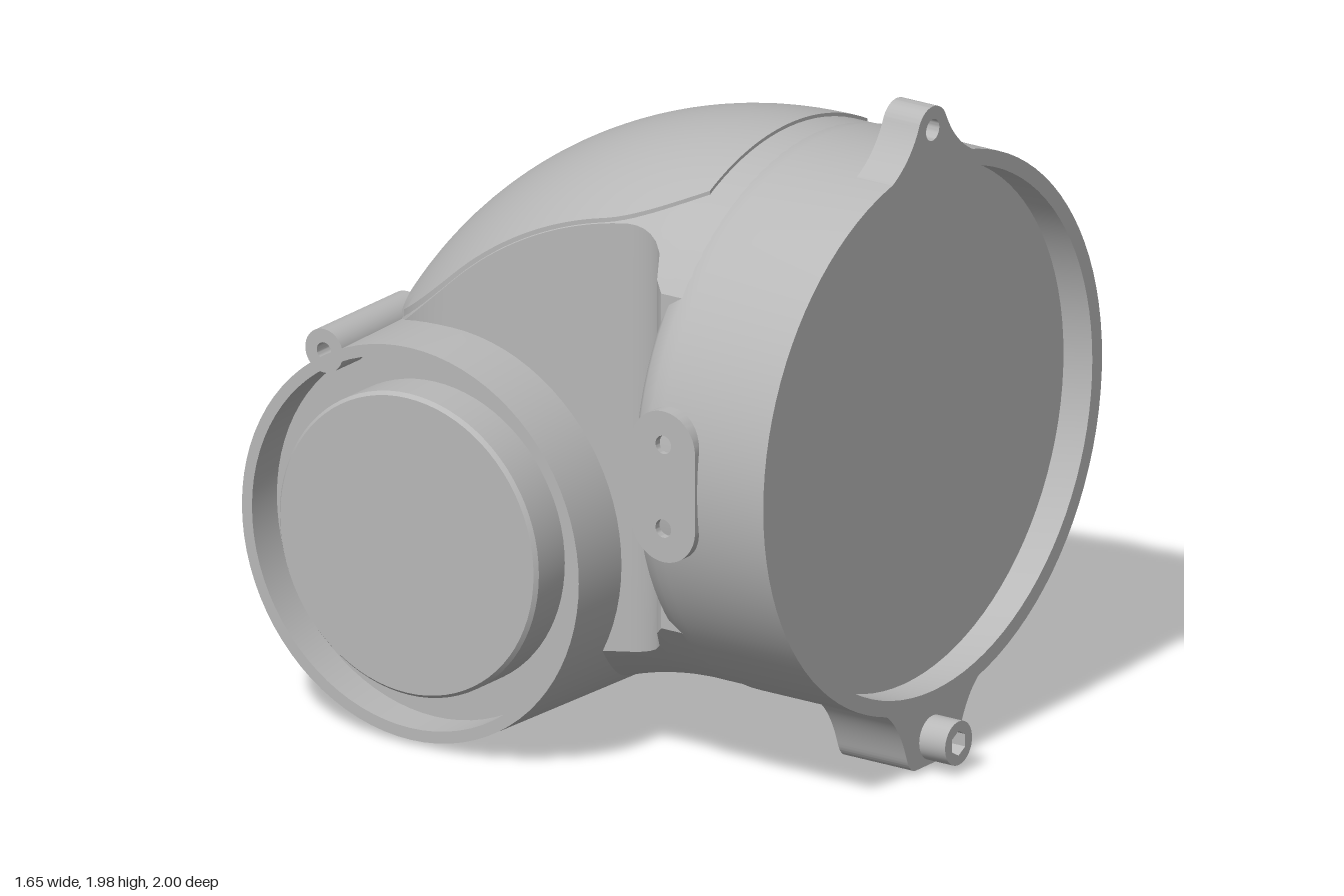
import * as THREE from 'three';
import { toCreasedNormals } from 'three/addons/utils/BufferGeometryUtils.js';

const grey = new THREE.MeshStandardMaterial({ color: 0xb8b8b8, side: THREE.DoubleSide });
grey.name = 'plain grey';

function part(name, geometry, crease = 0.6) {
  const mesh = new THREE.Mesh(toCreasedNormals(geometry, crease), grey);
  mesh.name = name;
  return mesh;
}

function lathe(points, segments = 80) {
  return new THREE.LatheGeometry(points.map(([r, y]) => new THREE.Vector2(r, y)), segments);
}

function extrude(shape, depth, bevel = 0) {
  return new THREE.ExtrudeGeometry(shape, {
    depth: depth - bevel, curveSegments: 20, bevelEnabled: bevel > 0,
    bevelSize: bevel, bevelThickness: bevel, bevelOffset: -bevel, bevelSegments: 3,
  });
}

function hole(shape, x, y, r) {
  shape.holes.push(new THREE.Path().absarc(x, y, r, 0, Math.PI * 2, true));
}

// Closed loft along -z; each section has a curved top, a curved bottom and flat sides
function loft(zs, width, top, bottom) {
  const n = 28, row = 2 * (n + 1), pos = [], idx = [];
  for (const z of zs) {
    const w = width(z);
    for (let j = 0; j < row; j++) {
      const isTop = j <= n;
      const x = w * (isTop ? (2 * j) / n - 1 : 1 - (2 * (j - n - 1)) / n);
      pos.push(x, (isTop ? top : bottom)(x, z), z);
    }
  }
  for (let i = 0; i < zs.length - 1; i++) {
    for (let j = 0; j < row; j++) {
      const k = (j + 1) % row, a = i * row + j, b = i * row + k;
      idx.push(a, b, a + row, b, b + row, a + row);
    }
  }
  const last = (zs.length - 1) * row;
  for (let j = 0; j < n; j++) {
    const a = j, b = j + 1, c = row - 1 - j, d = row - 2 - j;
    idx.push(a, c, b, b, c, d);
    idx.push(last + a, last + b, last + c, last + b, last + d, last + c);
  }
  const g = new THREE.BufferGeometry();
  g.setAttribute('position', new THREE.Float32BufferAttribute(pos, 3));
  g.setIndex(idx);
  return g;
}

// Outer surface of a pipe elbow of radius r bending backwards and down
function elbowTop(r) {
  return (x, z) => {
    const reach = 0.54 + Math.sqrt(r * r - x * x);
    const back = Math.max(0, 0.4 - z);
    return 0.46 + Math.sqrt(Math.max(0.01, reach * reach - back * back));
  };
}

// Half width of a plan that ends in a round arch at the back
function arch(z, half, length) {
  const t = Math.min(1, Math.max(0, (-0.4 - z) / length));
  return half * Math.sqrt(Math.max(0.0004, 1 - t * t));
}

function stations(front, length) {
  const zs = [];
  for (let i = 0; i <= 30; i++) zs.push(front + ((-0.4 - front) * i) / 30);
  for (let i = 1; i <= 16; i++) zs.push(-0.4 - length * Math.sin((i / 16) * Math.PI / 2));
  return zs;
}

// Flange ear: flared flanks around a given tip, closed along the barrel wall
function earShape(tip) {
  const s = new THREE.Shape();
  s.moveTo(0.26, 0.765);
  tip(s);
  s.absarc(0, 0, 0.79, Math.PI - 1.24, 1.24, true);
  return s;
}

export function createModel() {
  const model = new THREE.Group();
  model.name = 'elbowHousing';

  // Large front barrel with a rounded rear shoulder and a recessed face
  const barrel = part('frontBarrel', lathe([
    [0, 0.4], [0.64, 0.4], [0.71, 0.408], [0.76, 0.425], [0.795, 0.455], [0.812, 0.5],
    [0.817, 0.54], [0.817, 0.91], [0.77, 0.91], [0.77, 0.81], [0, 0.81],
  ], 96));
  barrel.rotation.x = Math.PI / 2;
  barrel.position.y = 1;
  model.add(barrel);

  // Cross cylinder with slightly tapered ends, end grooves and end discs
  const half = [[0.6, 0], [0.585, 0.7], [0.55, 0.7], [0.55, 0.58], [0.45, 0.58],
    [0.45, 0.705], [0.44, 0.717], [0, 0.717]];
  const mirrored = half.slice(1).reverse().map(([r, y]) => [r, -y]);
  const cross = part('crossCylinder', lathe([...mirrored, ...half], 80));
  cross.rotation.z = Math.PI / 2;
  cross.position.set(0, 0.6, -0.4);
  model.add(cross);

  // Flat-sided neck joining both, flaring into the barrel
  const neckWidth = (z) => {
    const t = Math.min(1, Math.max(0, (z - 0.2) / 0.2));
    return arch(z, 0.5, 0.44) + 0.14 * (1 - Math.sqrt(1 - t * t));
  };
  const neckBottom = (x, z) => {
    const t = Math.min(1, Math.max(0, (0.4 - z) / 0.5));
    return 1 - Math.sqrt(0.812 ** 2 - x * x) - 0.1 * t * t + Math.max(0, -0.1 - z);
  };
  model.add(part('neck', loft(stations(0.52, 0.44), neckWidth, elbowTop(0.812), neckBottom)));

  // Slightly raised cover on the outside of the bend
  const coverTop = elbowTop(0.822);
  const coverWidth = (z) => {
    const t = Math.min(1, Math.max(0, (z - 0.12) / 0.29));
    return arch(z, 0.497, 0.41) - 0.117 * t * t;
  };
  model.add(part('bendCover', loft(stations(0.41, 0.41), coverWidth, coverTop,
    (x, z) => coverTop(x, z) - 0.05)));

  // Top ear with its eyelet
  const topShape = earShape((s) => {
    s.quadraticCurveTo(0.12, 0.81, 0.066, 0.93);
    s.absarc(0, 0.905, 0.07, 0.36, Math.PI - 0.36, false);
    s.quadraticCurveTo(-0.12, 0.81, -0.26, 0.765);
  });
  hole(topShape, 0, 0.905, 0.032);
  const topEar = part('topEar', extrude(topShape, 0.125));
  topEar.position.set(0, 1, 0.785);
  model.add(topEar);

  // Deeper bottom ear, the same flange turned upside down
  const bottomEar = part('bottomEar', extrude(earShape((s) => {
    s.quadraticCurveTo(0.17, 0.8, 0.125, 0.94);
    s.quadraticCurveTo(0.11, 0.985, 0.08, 0.985);
    s.lineTo(-0.08, 0.985);
    s.quadraticCurveTo(-0.11, 0.985, -0.125, 0.94);
    s.quadraticCurveTo(-0.17, 0.8, -0.26, 0.765);
  }), 0.24));
  bottomEar.rotation.z = Math.PI;
  bottomEar.position.set(0, 1, 0.67);
  model.add(bottomEar);

  // Socket head screw
  const head = new THREE.Shape().absarc(0, 0, 0.065, 0, Math.PI * 2, false);
  const hex = [];
  for (let i = 0; i < 6; i++) {
    const a = -(i * Math.PI) / 3 + Math.PI / 6;
    hex.push(new THREE.Vector2(0.037 * Math.cos(a), 0.037 * Math.sin(a)));
  }
  head.holes.push(new THREE.Path(hex));
  const screw = part('screw', extrude(head, 0.09));
  screw.position.set(0, 0.092, 0.91);
  model.add(screw);

  // Side pads with two holes each
  for (const side of [1, -1]) {
    const s = new THREE.Shape();
    s.absarc(0, 0.115, 0.11, 0, Math.PI, false);
    s.absarc(0, -0.115, 0.11, Math.PI, Math.PI * 2, false);
    for (const y of [-0.125, 0.125]) hole(s, 0, y, 0.027);
    const pad = part(side > 0 ? 'leftPad' : 'rightPad', extrude(s, 0.1));
    pad.rotation.y = (side * Math.PI) / 2;
    pad.position.set(side * 0.727, 1.005, 0.57);
    model.add(pad);
  }

  // Tall lug between neck and cross cylinder
  const lug = new THREE.Shape();
  lug.moveTo(0.3, 1.0);
  lug.lineTo(0.3, 1.165);
  lug.quadraticCurveTo(0.21, 1.165, 0.175, 1.245);
  lug.absarc(0.11, 1.23, 0.066, 0.25, Math.PI - 0.15, false);
  lug.lineTo(0.015, 1.06);
  lug.lineTo(0.015, 1.0);
  const tallLug = part('tallLug', extrude(lug, 0.25, 0.01));
  tallLug.rotation.y = Math.PI / 2;
  tallLug.position.x = 0.44;
  model.add(tallLug);

  // Small drilled lug on the opposite end, further back
  const ring = new THREE.Shape().absarc(0, 0, 0.065, 0, Math.PI * 2, false);
  hole(ring, 0, 0, 0.025);
  const smallLug = part('smallLug', extrude(ring, 0.4));
  smallLug.rotation.y = -Math.PI / 2;
  smallLug.position.set(-0.3, 1.115, -0.7);
  model.add(smallLug);

  return model;
}
